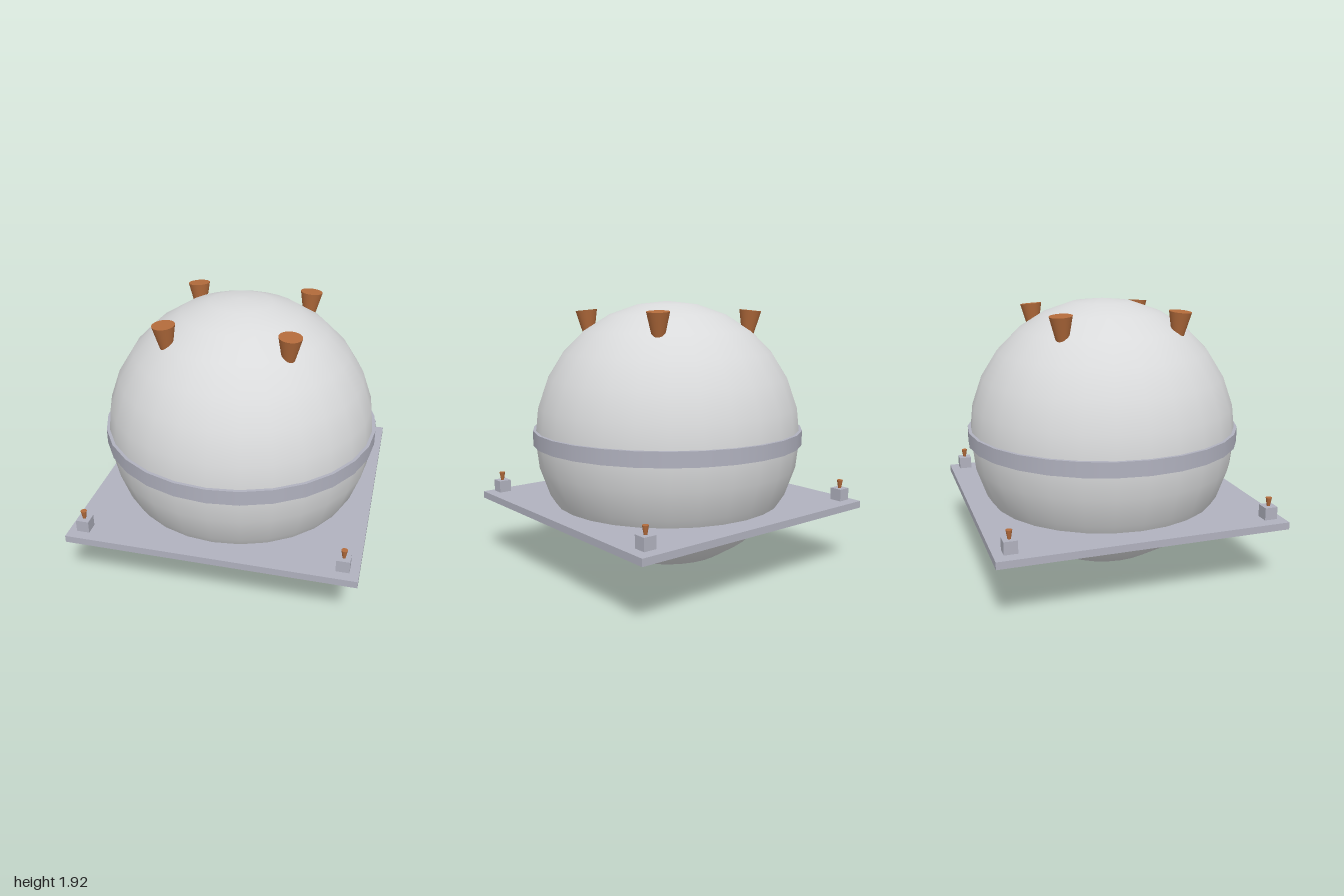
import * as THREE from 'three';

const shell = new THREE.MeshStandardMaterial({ color: 0xd9dadb });
shell.name = 'pale shell';
const steel = new THREE.MeshStandardMaterial({ color: 0xb0b1be });
steel.name = 'blue grey metal';
const copper = new THREE.MeshStandardMaterial({ color: 0xb36b3b });
copper.name = 'copper';

function add(parent, name, geometry, material, x, y, z) {
  const mesh = new THREE.Mesh(geometry, material);
  mesh.name = name;
  mesh.position.set(x, y, z);
  parent.add(mesh);
  return mesh;
}

export function createModel() {
  const model = new THREE.Group();
  model.name = 'sphericalTank';

  // Tank body with its equatorial band
  add(model, 'tankSphere', new THREE.SphereGeometry(0.961, 28, 14), shell, 0, 0.965, 0);
  add(model, 'equatorBand', new THREE.CylinderGeometry(0.977, 0.977, 0.104, 28), steel, 0, 0.967, 0);

  // Square mounting plate around the lower half
  add(model, 'mountingPlate', new THREE.BoxGeometry(2, 0.05, 2), steel, 0, 0.462, 0);

  const block = new THREE.BoxGeometry(0.09, 0.086, 0.09);
  const pin = new THREE.CylinderGeometry(0.021, 0.009, 0.07, 20);
  const nozzle = new THREE.CylinderGeometry(0.078, 0.034, 0.2, 28);
  nozzle.translate(0, -0.1, 0); // origin at the top face
  const up = new THREE.Vector3(0, 1, 0);

  for (const sx of [-1, 1]) {
    for (const sz of [-1, 1]) {
      // Corner block with a flared pin
      add(model, 'cornerBlock', block, steel, sx * 0.893, 0.539, sz * 0.893);
      add(model, 'cornerPin', pin, copper, sx * 0.893, 0.606, sz * 0.893);

      // Tapered nozzle, leaning slightly outwards
      const cap = add(model, 'topNozzle', nozzle, copper, sx * 0.418, 1.86, sz * 0.418);
      const axis = new THREE.Vector3(sx * 0.07, 1, sz * 0.07).normalize();
      cap.quaternion.setFromUnitVectors(up, axis);
    }
  }
  return model;
}
